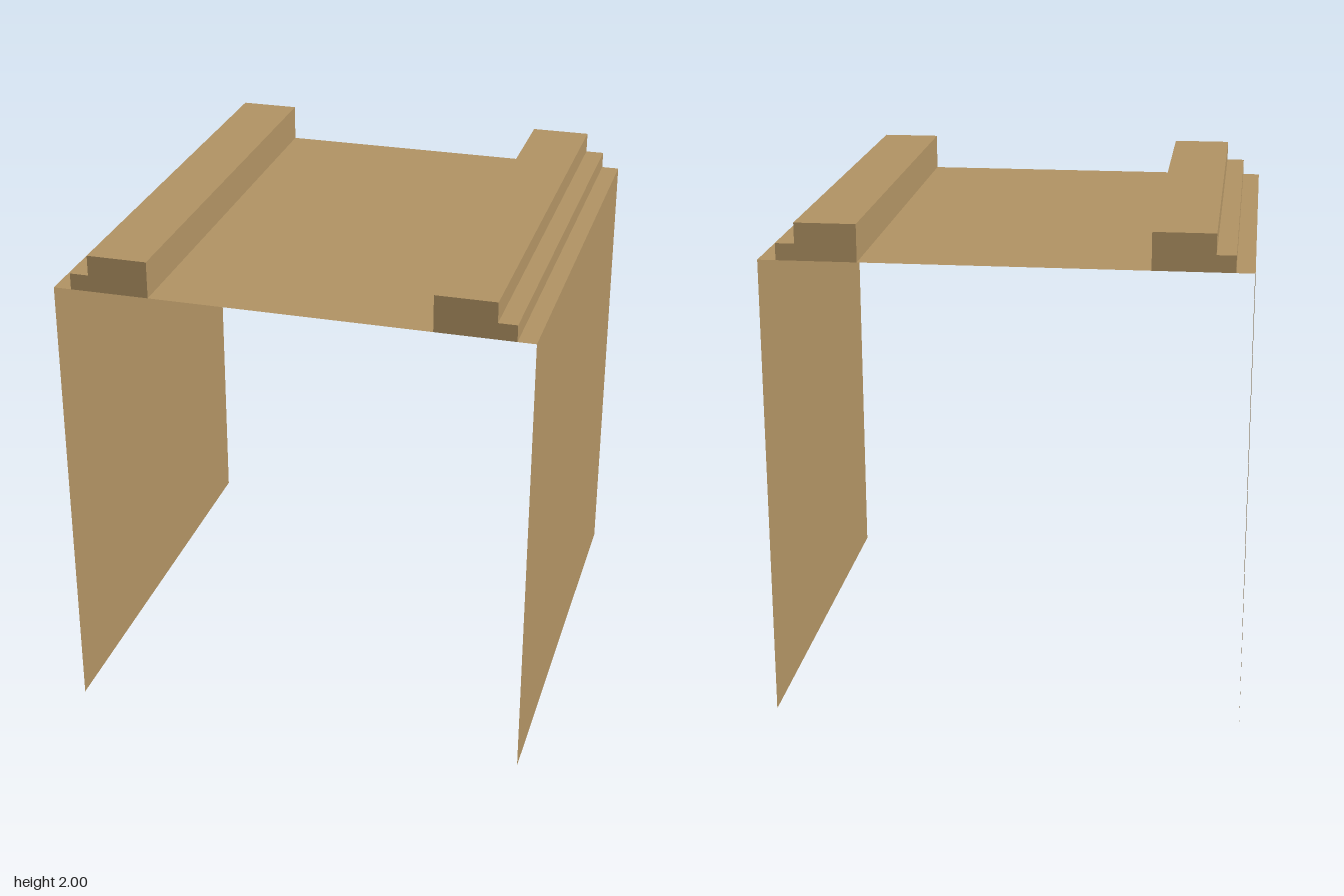
import * as THREE from 'three';

const DEPTH = 1.85; // length of every part along z
const EDGE = 0.925; // x of the side walls
const DECK = 1.855; // height of the deck

export function createModel() {
  const model = new THREE.Group();
  model.name = 'steppedTable';
  const tan = new THREE.MeshStandardMaterial({ color: 0xb09263, side: THREE.DoubleSide });
  tan.name = 'tan';

  const add = (name, geometry, parent = model) => {
    const mesh = new THREE.Mesh(geometry, tan);
    mesh.name = name;
    parent.add(mesh);
    return mesh;
  };

  // Flat sheet running along z between two points (x, y); its front lies to the left of a -> b
  const sheet = (name, [ax, ay], [bx, by], parent) => {
    const mesh = add(name, new THREE.PlaneGeometry(Math.hypot(bx - ax, by - ay), DEPTH), parent);
    mesh.geometry.rotateX(-Math.PI / 2).rotateZ(Math.atan2(by - ay, bx - ax));
    mesh.geometry.translate((ax + bx) / 2, (ay + by) / 2, 0);
  };

  // Deck between the two rails
  sheet('deck', [-0.547, DECK], [0.547, DECK]);

  for (const [label, s] of [['left', 1], ['right', -1]]) {
    const side = new THREE.Group();
    side.name = label + 'Side';
    model.add(side);

    // Stepped rail, hollow and open underneath
    const profile = [
      [0.547, DECK], [0.547, 2], [0.782, 2], [0.782, 1.92], [0.855, 1.92], [0.855, DECK],
    ].map(([x, y]) => [s * x, y]);
    const names = ['railInner', 'railTop', 'railRiser', 'railStep', 'railOuter'];
    names.forEach((name, i) => {
      const [a, b] = [profile[i], profile[i + 1]];
      if (s > 0) sheet(name, a, b, side);
      else sheet(name, b, a, side);
    });

    // Closed rail ends
    const outline = new THREE.Shape(profile.map(([x, y]) => new THREE.Vector2(x, y)));
    add('railFrontEnd', new THREE.ShapeGeometry(outline), side).position.z = DEPTH / 2;
    const back = new THREE.Shape(profile.map(([x, y]) => new THREE.Vector2(-x, y)));
    add('railBackEnd', new THREE.ShapeGeometry(back).rotateY(Math.PI), side).position.z = -DEPTH / 2;

    // Narrow ledge outside the rail, then the side wall down to the floor
    const inner = [s * 0.855, DECK], corner = [s * EDGE, DECK], foot = [s * EDGE, 0];
    if (s > 0) {
      sheet('ledge', inner, corner, side);
      sheet('wall', corner, foot, side);
    } else {
      sheet('ledge', corner, inner, side);
      sheet('wall', foot, corner, side);
    }
  }
  return model;
}
